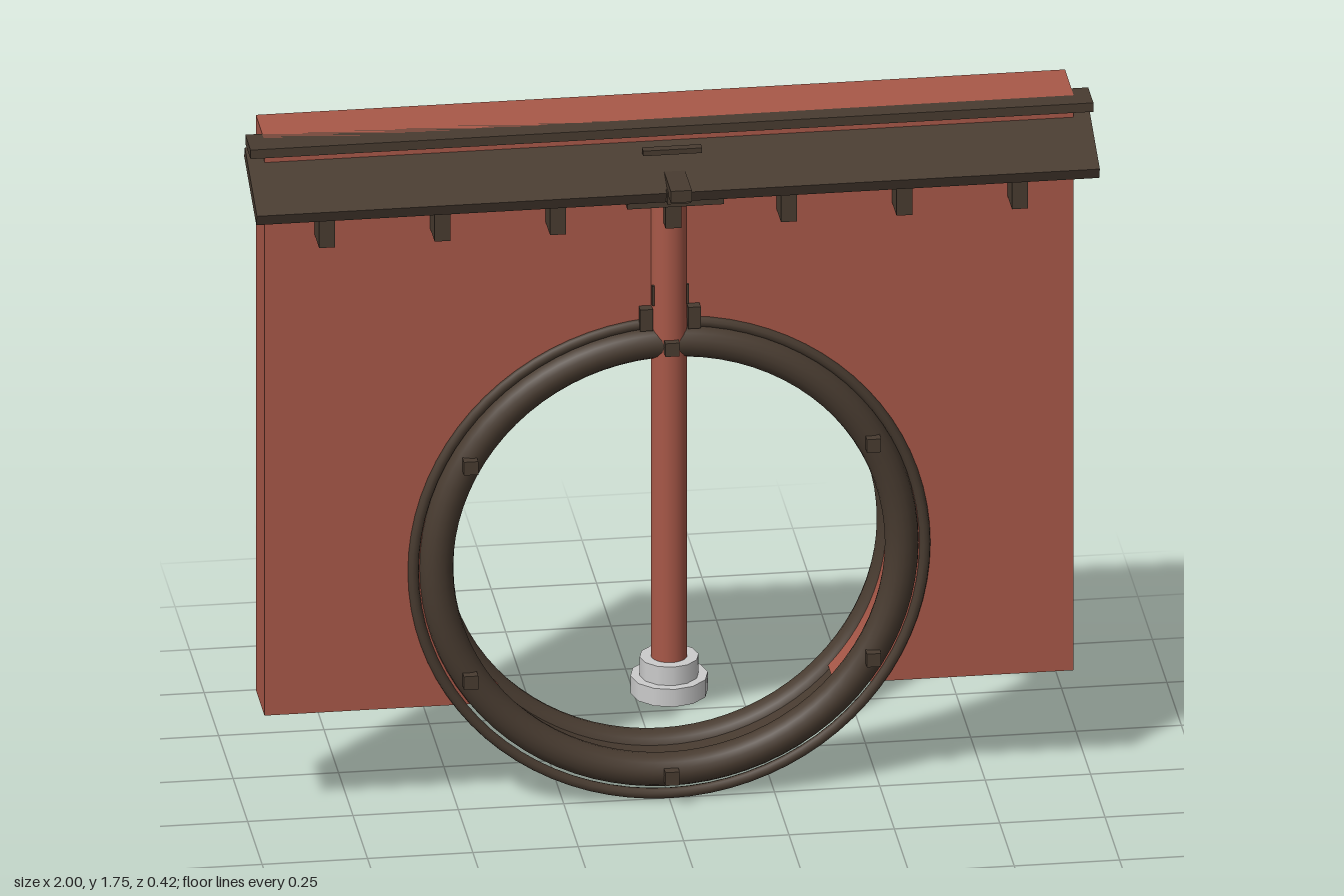
import * as THREE from 'three';

const RED = new THREE.MeshStandardMaterial({ color: 0xa85848 });
const DARK = new THREE.MeshStandardMaterial({ color: 0x483b30 });
const GREY = new THREE.MeshStandardMaterial({ color: 0xcccccc });
const LINER = new THREE.MeshStandardMaterial({ color: 0x483b30, side: THREE.DoubleSide });

const CY = 0.627; // height of the round opening's centre

export function createModel() {
  const model = new THREE.Group();
  model.name = 'wallWithRoundOpening';

  const add = (name, geometry, material, x = 0, y = 0, z = 0) => {
    const mesh = new THREE.Mesh(geometry, material);
    mesh.name = name;
    mesh.position.set(x, y, z);
    model.add(mesh);
    return mesh;
  };
  // Box given by its limits on each axis
  const box = (name, material, [x0, x1], [y0, y1], [z0, z1]) =>
    add(name, new THREE.BoxGeometry(x1 - x0, y1 - y0, z1 - z0), material,
      (x0 + x1) / 2, (y0 + y1) / 2, (z0 + z1) / 2);

  // Wall slab, its lower edge broken by the round opening
  const bottom = 0.27, top = 1.75, half = 0.96, holeR = 0.53;
  const a = Math.asin((bottom - CY) / holeR);
  const shape = new THREE.Shape();
  shape.moveTo(half, bottom);
  shape.lineTo(half, top);
  shape.lineTo(-half, top);
  shape.lineTo(-half, bottom);
  shape.lineTo(-holeR * Math.cos(a), bottom);
  shape.absarc(0, CY, holeR, Math.PI - a, a, true);
  shape.closePath();
  add('wall', new THREE.ExtrudeGeometry(shape, { depth: 0.15, bevelEnabled: false, curveSegments: 64 }),
    RED, 0, 0, -0.15);

  // Rings on both faces, the liner between them and the thin outer rim
  add('frontRing', new THREE.TorusGeometry(0.552, 0.04, 16, 80), DARK, 0, CY, 0);
  add('backRing', new THREE.TorusGeometry(0.552, 0.04, 16, 80), DARK, 0, CY, -0.14);
  add('outerRim', new THREE.TorusGeometry(0.607, 0.013, 10, 80), DARK, 0, 0.62, 0);
  const liner = add('ringLiner', new THREE.CylinderGeometry(0.537, 0.537, 0.13, 80, 1, true), LINER, 0, CY, -0.07);
  liner.rotation.x = Math.PI / 2;

  // Studs around the front ring
  for (let i = 0; i < 6; i++) {
    const t = Math.PI / 2 + i * Math.PI / 3;
    add('ringStud', new THREE.BoxGeometry(0.034, 0.034, 0.03), DARK,
      0.552 * Math.cos(t), CY + 0.552 * Math.sin(t), 0.045);
  }

  // Vertical pipe with its stepped foot
  add('pipe', new THREE.CylinderGeometry(0.043, 0.043, 1.24, 24), RED, 0, 0.95, 0);
  add('footCollar', new THREE.CylinderGeometry(0.07, 0.07, 0.05, 12), GREY, 0, 0.342, 0);
  add('footFlange', new THREE.CylinderGeometry(0.092, 0.092, 0.045, 12), GREY, 0, 0.297, 0);

  // Clips on either side of the pipe
  for (const s of [-1, 1]) {
    add('pipeClip', new THREE.BoxGeometry(0.03, 0.055, 0.05), DARK, s * 0.057, 1.243, 0);
    add('pipeFin', new THREE.BoxGeometry(0.006, 0.05, 0.008), DARK, s * 0.041, 1.305, 0.022);
  }

  // Canopy: ridge cap, sloping board and the brackets below
  box('ridgeCap', DARK, [-1, 1], [1.727, 1.75], [-0.04, 0.05]);
  const board = add('canopyBoard', new THREE.BoxGeometry(2, 0.03, 0.226), DARK, 0, 1.657, 0.05);
  board.rotation.x = 0.385;
  for (let i = -3; i <= 3; i++) {
    box('canopyBracket', DARK, [i * 0.274 - 0.019, i * 0.274 + 0.019], [1.5, 1.645], [-0.01, 0.077]);
  }

  // Central fastening, passing through the wall
  box('fasteningPlate', DARK, [-0.115, 0.115], [1.572, 1.598], [0, 0.115]);
  box('fasteningStrip', DARK, [-0.07, 0.07], [1.683, 1.696], [0.04, 0.062]);
  box('tieBar', DARK, [-0.025, 0.025], [1.625, 1.655], [-0.21, 0.21]);
  box('tieBarLower', DARK, [-0.028, 0.028], [1.605, 1.635], [-0.175, 0.172]);
  return model;
}
